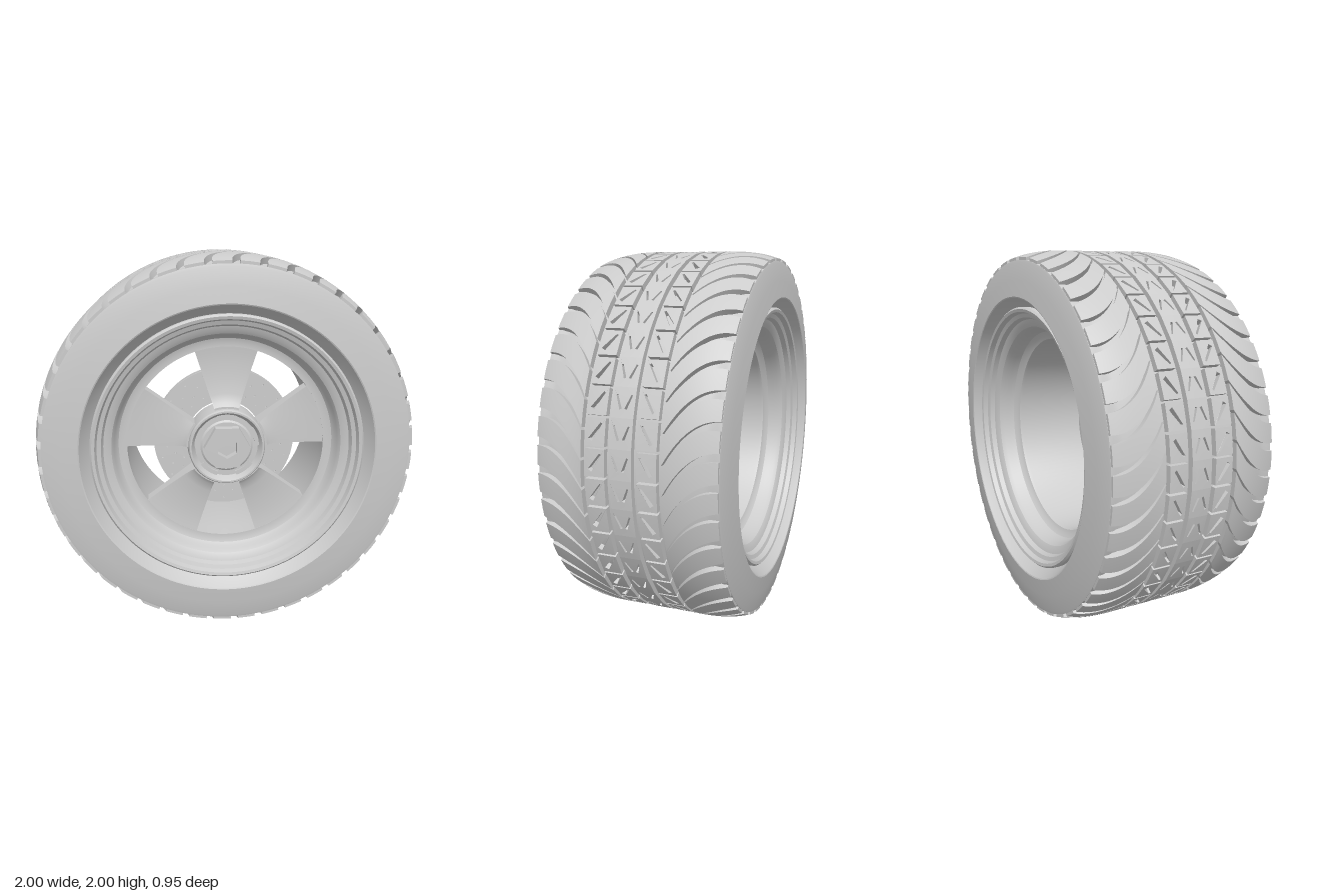
import * as THREE from 'three';
import { mergeGeometries, toCreasedNormals } from 'three/addons/utils/BufferGeometryUtils.js';

const SEG = 120, PITCHES = 45, PITCH = (2 * Math.PI) / PITCHES;
const mat = new THREE.MeshStandardMaterial({ color: 0xcccccc });
const matDouble = new THREE.MeshStandardMaterial({ color: 0xcccccc, side: THREE.DoubleSide });
const V2 = ([x, y]) => new THREE.Vector2(x, y);
const mix = THREE.MathUtils.lerp;

function part(name, geometry, material = mat) {
  const mesh = new THREE.Mesh(geometry, material);
  mesh.name = name;
  return mesh;
}

// Revolve a closed counter-clockwise (radius, axial) profile
function ring(profile, start = 0, length = 2 * Math.PI, seg = SEG) {
  const g = new THREE.LatheGeometry([...profile, profile[0]].map(V2), seg, start, length);
  return toCreasedNormals(g, 0.45);
}

// Tread surface radius and groove floor radius at axial position z
const treadRadius = z => 1 - 0.036 * Math.pow(Math.max(0, (Math.abs(z) - 0.2) / 0.245), 2.5);
const floorRadius = z => treadRadius(z) - mix(0.032, 0.014, THREE.MathUtils.smoothstep(Math.abs(z), 0.39, 0.445));

// Wrap (angle, axial, height 0..1) coordinates onto the tyre; the axle is y here
function wrap(geometry, rule = p => p) {
  const pos = geometry.attributes.position, p = new THREE.Vector3();
  for (let i = 0; i < pos.count; i++) {
    rule(p.fromBufferAttribute(pos, i));
    const r = mix(floorRadius(p.y) - 0.004, treadRadius(p.y), p.z);
    pos.setXYZ(i, r * Math.cos(p.x), p.y, -r * Math.sin(p.x));
  }
  const g = geometry.index ? geometry.toNonIndexed() : geometry;
  return toCreasedNormals(g, 0.5);
}

// Curved shoulder lug; side is +1 or -1
function shoulderLug(side) {
  return wrap(new THREE.BoxGeometry(1, 1, 1, 2, 14, 1), p => {
    p.y = side > 0 ? mix(0.196, 0.444, p.y + 0.5) : mix(-0.444, -0.196, p.y + 0.5);
    const t = (Math.abs(p.y) - 0.196) / 0.248;
    const gap = mix(0.014, 0.042, t);
    p.x = p.x * (PITCH - gap) - 0.2 * Math.pow(1 - t, 2.2);
    p.z += 0.5;
  });
}

// Tapered slot cut between two points
function slot(a, b, wa, wb) {
  const A = V2(a), B = V2(b), d = B.clone().sub(A).normalize(), n = new THREE.Vector2(-d.y, d.x);
  const at = (p, w) => p.clone().addScaledVector(n, w);
  return new THREE.Path([at(A, wa), at(B, wb), at(B, -wb), at(A, -wa)]);
}

function block(s0, s1, z0, z1, slots) {
  const shape = new THREE.Shape([[s0, z0], [s1, z0], [s1, z1], [s0, z1]].map(V2));
  shape.holes.push(...slots);
  return wrap(new THREE.ExtrudeGeometry(shape, { depth: 1, bevelEnabled: false }));
}

function treadGeometry() {
  const h = PITCH / 2, pieces = [];
  // Centre rib with V cuts
  pieces.push(block(-h, h, -0.054, 0.054, [1, -1].map(k =>
    slot([0.035, 0.036 * k], [-0.03, 0.012 * k], 0.004, 0.006))));
  // Slotted side blocks and shoulder lugs
  for (const k of [1, -1]) {
    const z = [0.078 * k, 0.174 * k].sort((a, b) => a - b);
    pieces.push(block(-h + 0.006, h - 0.006, z[0], z[1],
      [slot([0.042, 0.098 * k], [-0.036, 0.15 * k], 0.005, 0.011)]));
    pieces.push(shoulderLug(k));
  }
  const pitch = mergeGeometries(pieces);
  return mergeGeometries(Array.from({ length: PITCHES }, (_, i) => pitch.clone().rotateY((i + 0.5) * PITCH)));
}

// Tyre body: steep bead, nearly flat sidewall and groove floor, mirrored front to back
function tyreGeometry() {
  const back = [[0.7, -0.39], [0.715, -0.405], [0.758, -0.474], [0.764, -0.477], [0.85, -0.465], [0.938, -0.449]];
  for (let i = 0; i <= 20; i++) {
    const z = mix(-0.445, 0, i / 20.5);
    back.push([floorRadius(z), z]);
  }
  return ring([...back, ...back.map(([r, z]) => [r, -z]).reverse()]);
}

// Rim barrel with stepped lips at both ends
function rimGeometry() {
  const lip = [[0.71, 0.4], [0.71, 0.43], [0.7, 0.44], [0.685, 0.436], [0.676, 0.41],
    [0.655, 0.402], [0.645, 0.376], [0.622, 0.368], [0.605, 0.357], [0.592, 0.335]];
  const front = [...lip, [0.586, 0.308], [0.572, 0.29], [0.55, 0.283], [0.527, 0.283], [0.527, 0.19]];
  const rear = [...lip, [0.586, 0.305], [0.575, 0.275], [0.555, 0.258], [0.535, 0.25], [0.53, 0.235]];
  return ring([...front, ...rear.map(([r, z]) => [r, -z]).reverse()]);
}

// One dished spoke: a 36 degree revolved slice with flat end walls
function spokeGeometry(start) {
  const length = Math.PI / 5;
  const profile = [[0.15, 0.18], [0.3, 0.19], [0.42, 0.2], [0.54, 0.2], [0.54, 0.283], [0.5, 0.279],
    [0.44, 0.277], [0.36, 0.281], [0.28, 0.291], [0.235, 0.302], [0.215, 0.318], [0.15, 0.318]];
  const cap = phi => {
    const g = new THREE.ShapeGeometry(new THREE.Shape(profile.map(V2))).toNonIndexed();
    return g.rotateY(phi - Math.PI / 2);
  };
  return mergeGeometries([ring(profile, start, length, 14), cap(start), cap(start + length)]);
}

// Flat polygon or circle outline in the wheel plane
function outline(sides, radius, turn = 0, cx = 0, cy = 0) {
  return Array.from({ length: sides }, (_, i) => {
    const a = turn + (i * 2 * Math.PI) / sides;
    return new THREE.Vector2(cx + radius * Math.cos(a), cy + radius * Math.sin(a));
  });
}

// Extrude along the axle, from axial position z
function plate(points, holes, z, depth) {
  const shape = new THREE.Shape(points);
  shape.holes = holes.map(h => new THREE.Path(h));
  const g = new THREE.ExtrudeGeometry(shape, { depth, bevelEnabled: false });
  return toCreasedNormals(g.translate(0, 0, z).rotateX(-Math.PI / 2), 0.4);
}

function brakeDisc() {
  const group = new THREE.Group();
  group.name = 'brakeDisc';
  const holes = [outline(72, 0.205)];
  for (let i = 0; i < 40; i++) {
    const a = (i / 40) * 2 * Math.PI;
    for (const r of i % 2 ? [0.25, 0.32] : [0.285, 0.36])
      holes.push(outline(8, 0.005, 0, r * Math.cos(a), r * Math.sin(a)));
  }
  for (const z of [0.09, 0.13]) group.add(part('discPlate', plate(outline(72, 0.39), holes, z, 0.016)));
  // Cooling vanes between the plates
  const vanes = Array.from({ length: 40 }, (_, i) =>
    new THREE.BoxGeometry(0.16, 0.028, 0.009).translate(0.295, 0.118, 0).rotateY(((i + 0.5) / 40) * 2 * Math.PI));
  group.add(part('discVanes', mergeGeometries(vanes)));
  return group;
}

export function createModel() {
  const model = new THREE.Group();
  model.name = 'wheel';
  const wheel = new THREE.Group();
  wheel.name = 'wheelAssembly';
  wheel.rotation.x = Math.PI / 2; // axle from y to z
  wheel.position.y = 1;
  model.add(wheel);

  wheel.add(part('tyre', tyreGeometry()));
  wheel.add(part('tread', treadGeometry()));
  wheel.add(part('rim', rimGeometry()));
  for (let i = 0; i < 5; i++)
    wheel.add(part('spoke', spokeGeometry(Math.PI / 10 + (i * 2 * Math.PI) / 5), matDouble));

  // Cupped hub with a raised washer and a socketed hexagonal nut
  wheel.add(part('hub', ring([[0, 0.15], [0.2, 0.15], [0.208, 0.27], [0.203, 0.338], [0.197, 0.348],
    [0.188, 0.348], [0.18, 0.335], [0.168, 0.308], [0.14, 0.308], [0.13, 0.315], [0, 0.315]], 0, 2 * Math.PI, 72)));
  wheel.add(part('hubNut', plate(outline(6, 0.124), [outline(6, 0.058, Math.PI / 6)], 0.305, 0.057)));
  wheel.add(brakeDisc());
  return model;
}
